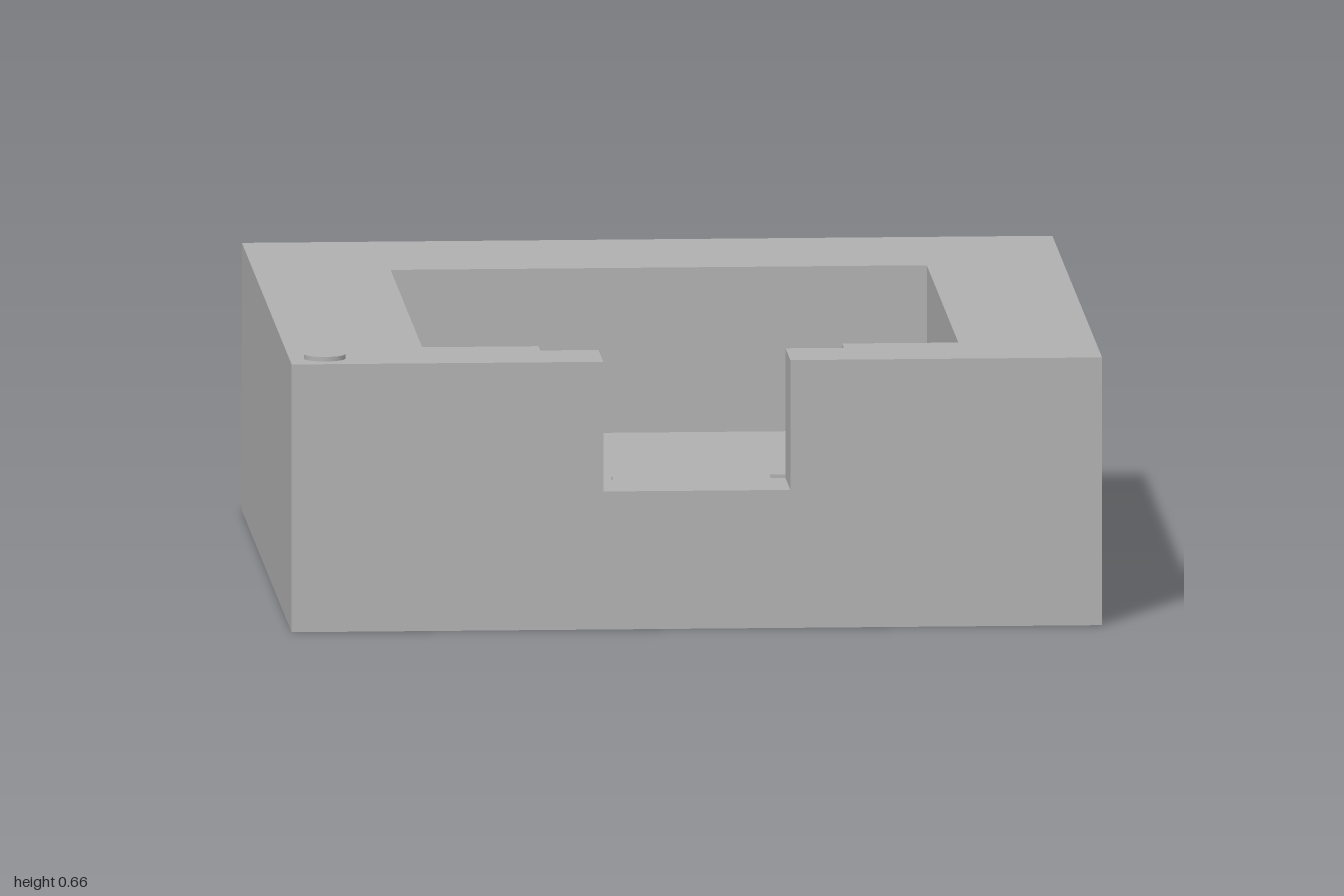
import * as THREE from 'three';
import { mergeGeometries } from 'three/addons/utils/BufferGeometryUtils.js';

// Heights
const TOP = 0.65, NOTCH = 0.335, POCKET = 0.25, SLOT = 0.22;
// Half-widths and depths of the block, pocket, slots and notch
const W = 0.975, D = 1;
const PX = 0.645, PB = -0.535, PF = 0.735;
const S0 = 0.19, S1 = 0.365, SB = 0.17, SF = 0.805;
const N = 0.225;

// Vertical wall from (x0, z0) to (x1, z1), facing the left hand of its direction seen from above
function wall([x0, z0, x1, z1, y0, y1]) {
  const g = new THREE.PlaneGeometry(1, 1);
  const p = g.attributes.position;
  for (let i = 0; i < 4; i++) {
    const t = 0.5 - p.getX(i);
    p.setXYZ(i, x0 + (x1 - x0) * t, p.getY(i) > 0 ? y1 : y0, z0 + (z1 - z0) * t);
  }
  g.computeVertexNormals();
  return g;
}

const mirror = ([x0, z0, x1, z1, y0, y1]) => [-x1, z1, -x0, z0, y0, y1];
const bothSides = (list) => list.flatMap((w) => [wall(w), wall(mirror(w))]);

// Adds the mirrored half to an outline given on the +x side
const symmetric = (half) => [...half, ...half.map(([x, z]) => [-x, z]).reverse()];

// Horizontal face from an outline of [x, z] points, facing up
function level(points, y) {
  const shape = new THREE.Shape(points.map(([x, z]) => new THREE.Vector2(x, -z)));
  return new THREE.ShapeGeometry(shape).rotateX(-Math.PI / 2).translate(0, y, 0);
}

export function createModel() {
  const group = new THREE.Group();
  const grey = new THREE.MeshStandardMaterial({ color: 0xb0b0b0 });
  grey.name = 'grey';
  const add = (name, ...parts) => {
    const mesh = new THREE.Mesh(parts.length > 1 ? mergeGeometries(parts) : parts[0], grey);
    mesh.name = name;
    group.add(mesh);
    return mesh;
  };

  // Outside of the block, with the notch cut out of the front
  const front = new THREE.ShapeGeometry(new THREE.Shape(symmetric([
    [W, 0], [W, TOP], [N, TOP], [N, NOTCH],
  ]).map(([x, y]) => new THREE.Vector2(x, y)))).translate(0, 0, D);
  const base = new THREE.PlaneGeometry(2 * W, 2 * D).rotateX(Math.PI / 2);
  add('blockSides', front, base,
    wall([-W, -D, W, -D, 0, TOP]),
    ...bothSides([[W, -D, W, D, 0, TOP]]));

  // Top rim, open at the front
  add('topRim', level(symmetric([
    [PX, PB], [PX, PF], [S1, PF], [S1, SF], [N, SF], [N, D], [W, D], [W, -D],
  ].reverse()), TOP));

  // Walls of the pocket, the slot recesses and the notch
  add('pocketWalls',
    wall([PX, PB, -PX, PB, POCKET, TOP]),
    wall([-S0, PF, S0, PF, POCKET, NOTCH]),
    ...bothSides([
      [N, D, N, SF, NOTCH, TOP],
      [N, SF, S1, SF, SLOT, TOP],
      [S1, SF, S1, PF, SLOT, TOP],
      [S1, PF, PX, PF, POCKET, TOP],
      [PX, PF, PX, PB, POCKET, TOP],
    ]));

  // Pocket floor, with the two slots cut out
  add('pocketFloor', level(symmetric([
    [PX, PB], [PX, PF], [S1, PF], [S1, SB], [S0, SB], [S0, PF],
  ]), POCKET));

  // Raised floor of the front notch
  add('notchFloor', level(symmetric([
    [S0, PF], [S0, SF], [N, SF], [N, D],
  ]), NOTCH));

  // Shallow slots running under the front wall
  add('slotWalls', ...bothSides([
    [S1, PF, S1, SB, SLOT, POCKET],
    [S1, SB, S0, SB, SLOT, POCKET],
    [S0, SB, S0, PF, SLOT, POCKET],
    [S0, PF, S0, SF, SLOT, NOTCH],
    [S0, SF, N, SF, SLOT, NOTCH],
  ]));
  for (const [side, s] of [['left', 1], ['right', -1]]) {
    const floor = new THREE.PlaneGeometry(S1 - S0, SF - SB).rotateX(-Math.PI / 2);
    add(side + 'SlotFloor', floor).position.set(s * (S0 + S1) / 2, SLOT, (SB + SF) / 2);
  }

  // Small round marker on the front corner
  add('cornerDisc', new THREE.CylinderGeometry(0.05, 0.05, 0.012, 48))
    .position.set(-0.89, TOP + 0.005, 0.905);

  return group;
}
